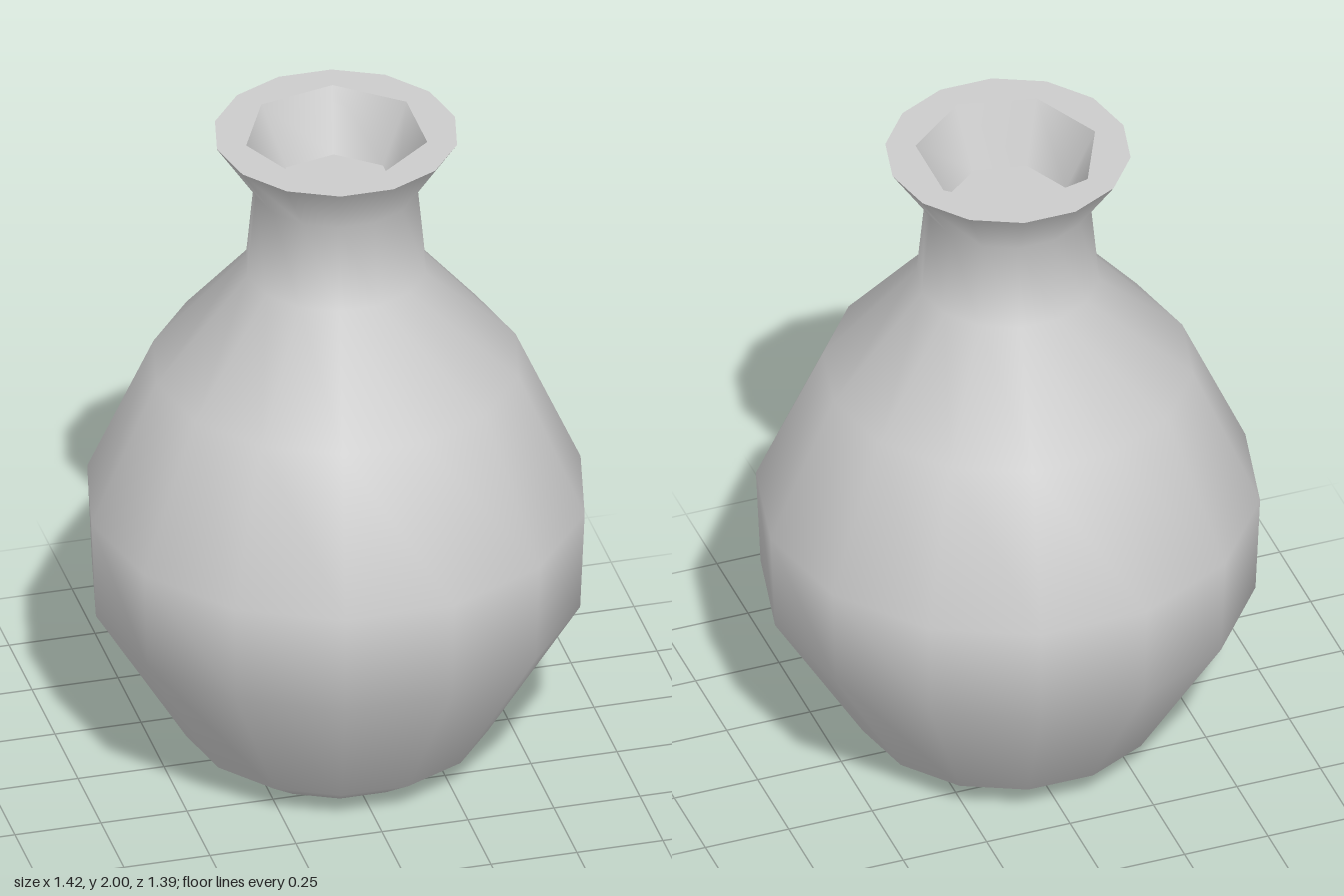
import * as THREE from 'three';

const SIDES = 14;      // outer wall
const MOUTH_SIDES = 7; // opening

const points = (list) => list.map(([r, y]) => new THREE.Vector2(r, y));

// Corners of a regular polygon in the plane
const polygon = (radius, sides, start) => Array.from({ length: sides }, (_, i) => {
  const a = start + (i / sides) * Math.PI * 2;
  return new THREE.Vector2(radius * Math.cos(a), radius * Math.sin(a));
});

export function createModel() {
  const group = new THREE.Group();
  group.name = 'vase';
  const clay = new THREE.MeshStandardMaterial({ color: 0xcccccc });
  clay.name = 'grey clay';

  const add = (name, geometry, y = 0) => {
    const mesh = new THREE.Mesh(geometry, clay);
    mesh.name = name;
    mesh.position.y = y;
    group.add(mesh);
  };

  // Outer wall with closed base, smooth from foot to lip
  add('body', new THREE.LatheGeometry(points([
    [0, 0], [0.303, 0], [0.435, 0.09], [0.698, 0.525], [0.711, 0.83],
    [0.522, 1.26], [0.258, 1.57], [0.233, 1.83], [0.346, 2],
  ]), SIDES, Math.PI / 2));

  // Flat rim with a seven-sided opening
  const rim = new THREE.Shape(polygon(0.346, SIDES, 0));
  rim.holes.push(new THREE.Path(polygon(0.261, MOUTH_SIDES, Math.PI)));
  add('rim', new THREE.ShapeGeometry(rim).rotateX(-Math.PI / 2), 2);

  // Tapered inside of the mouth
  add('mouthWall', new THREE.LatheGeometry(
    points([[0.261, 2], [0.174, 1.825]]), MOUTH_SIDES, -Math.PI / 2));

  // Shallow floor inside the mouth
  const floor = new THREE.Shape(polygon(0.174, MOUTH_SIDES, Math.PI));
  add('mouthFloor', new THREE.ShapeGeometry(floor).rotateX(-Math.PI / 2), 1.825);

  return group;
}
